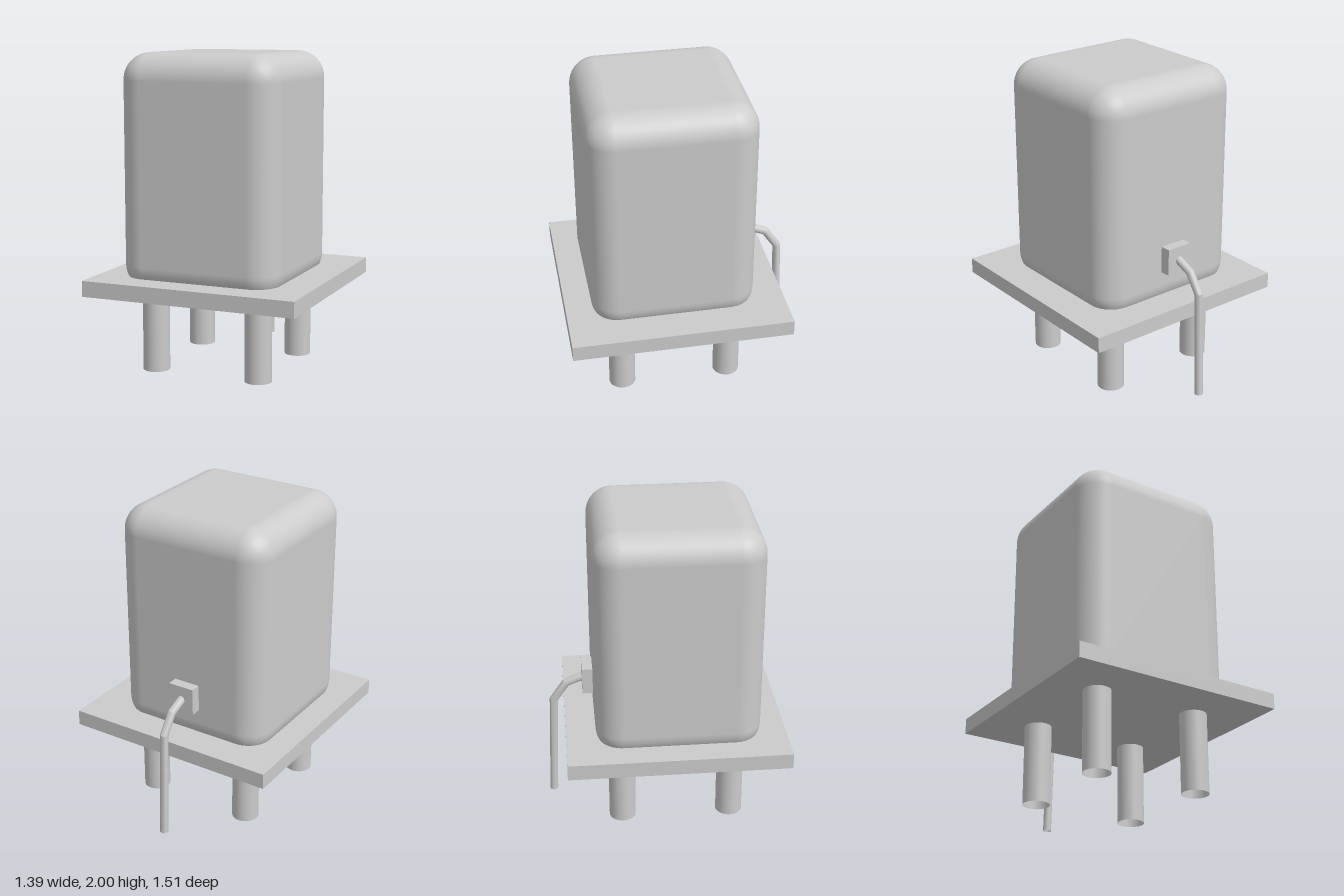
import * as THREE from 'three';
import { toCreasedNormals } from 'three/addons/utils/BufferGeometryUtils.js';
import { RoundedBoxGeometry } from 'three/addons/geometries/RoundedBoxGeometry.js';

const grey = new THREE.MeshStandardMaterial({ color: 0xcccccc });
const greyOpen = new THREE.MeshStandardMaterial({ color: 0xcccccc, side: THREE.DoubleSide });

function addPart(group, name, geometry, x, y, z, material = grey) {
  const mesh = new THREE.Mesh(geometry, material);
  mesh.name = name;
  mesh.position.set(x, y, z);
  group.add(mesh);
}

// Open pipe with mitred bends through points given as (z, y)
function mitredPipe(points, radius, sides) {
  const last = points.length - 1;
  const geometry = new THREE.CylinderGeometry(radius, radius, 1, sides, last, true);
  const pos = geometry.attributes.position;
  const dirs = points.slice(1).map((p, i) => p.clone().sub(points[i]).normalize());
  for (let i = 0; i < pos.count; i++) {
    const row = Math.floor(i / (sides + 1));
    const before = dirs[Math.max(row - 1, 0)];
    const after = dirs[Math.min(row, last - 1)];
    const d = before.clone().add(after).normalize();
    const offset = pos.getZ(i) / d.dot(after);
    pos.setY(i, points[row].y + d.x * offset);
    pos.setZ(i, points[row].x - d.y * offset);
  }
  return toCreasedNormals(geometry, 0.45);
}

export function createModel() {
  const group = new THREE.Group();

  // Rounded housing, its lower rim sunk into the base plate
  addPart(group, 'housing', new RoundedBoxGeometry(1.036, 1.485, 1.04, 8, 0.17), -0.024, 1.2575, 0.07);

  // Square base plate
  addPart(group, 'basePlate', new THREE.BoxGeometry(1.39, 0.1, 1.39), 0, 0.56, 0.058);

  // Four hollow legs
  const legGeometry = new THREE.CylinderGeometry(0.085, 0.085, 0.51, 32, 1, true);
  for (const x of [-0.36, 0.335]) {
    for (const z of [-0.288, 0.407]) {
      addPart(group, 'leg', legGeometry, x, 0.255, z, greyOpen);
    }
  }

  // Plug on the back with a cable bending down to the floor
  addPart(group, 'plug', new THREE.BoxGeometry(0.173, 0.173, 0.08), -0.028, 0.862, -0.477);
  const path = [[-0.5, 0.862], [-0.62, 0.813], [-0.703, 0.693], [-0.728, 0]]
    .map(([z, y]) => new THREE.Vector2(z, y));
  addPart(group, 'cable', mitredPipe(path, 0.026, 16), -0.028, 0, 0, greyOpen);

  return group;
}
